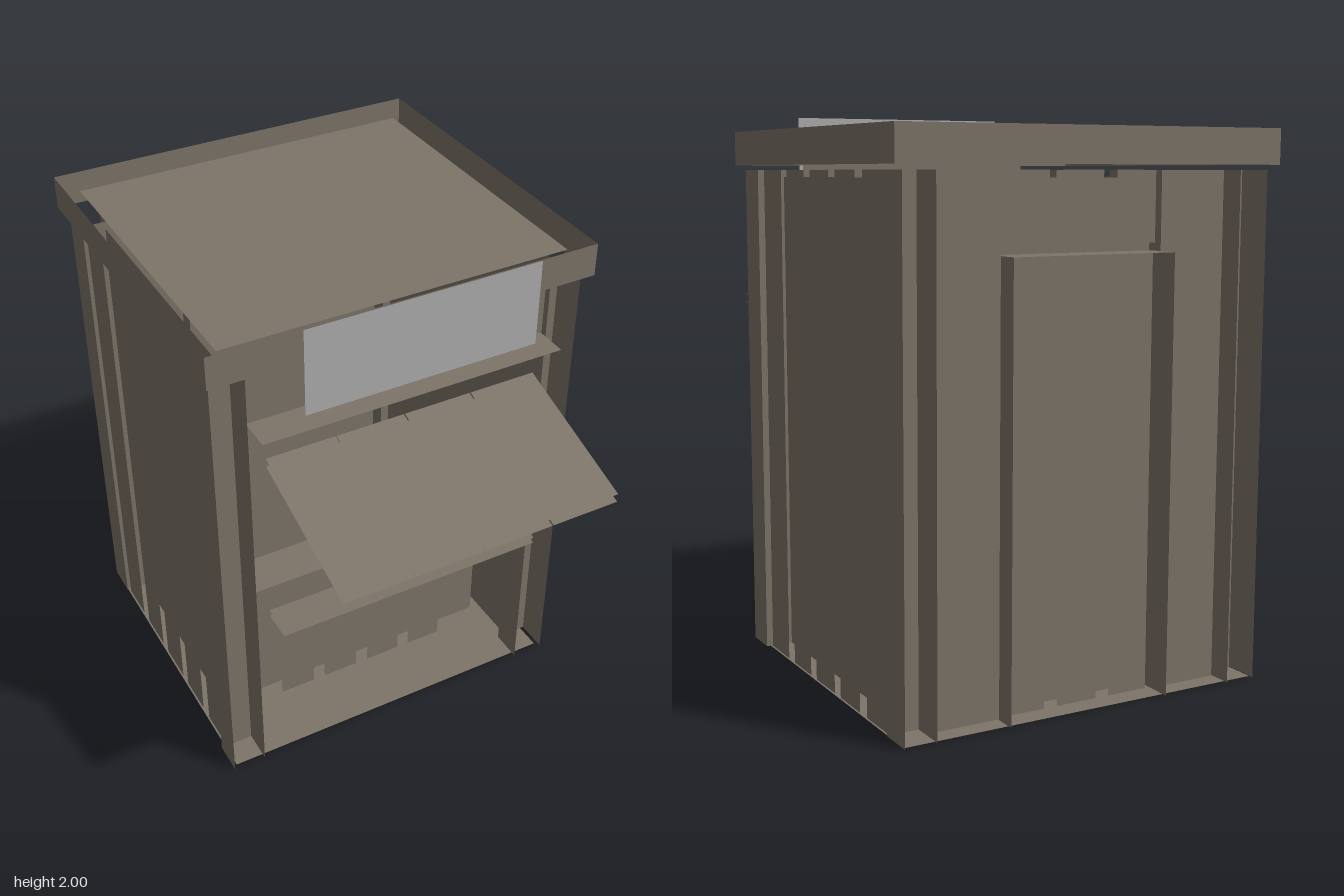
import * as THREE from 'three';

const mat = (name, color) => {
  const m = new THREE.MeshStandardMaterial({ color, side: THREE.DoubleSide });
  m.name = name;
  return m;
};

export function createModel() {
  const root = new THREE.Group();
  root.name = 'kiosk';
  const brown = mat('weatheredMetal', 0x7d7568);
  const grey = mat('signGrey', 0xb0aeae);

  const add = (name, positions, material = brown) => {
    const g = new THREE.BufferGeometry();
    g.setAttribute('position', new THREE.Float32BufferAttribute(positions, 3));
    g.computeVertexNormals();
    const mesh = new THREE.Mesh(g, material);
    mesh.name = name;
    root.add(mesh);
  };

  // Flat sheets: from four corners, level, facing z, facing x
  const sheet = (name, a, b, c, d, material) => add(name, [...a, ...b, ...c, ...a, ...c, ...d], material);
  const level = (name, x, y, z0, z1) =>
    sheet(name, [-x, y, z1], [x, y, z1], [x, y, z0], [-x, y, z0]);
  const facingZ = (name, x0, x1, y0, y1, z, material) =>
    sheet(name, [x0, y0, z], [x1, y0, z], [x1, y1, z], [x0, y1, z], material);
  const facingX = (name, x, z0, z1, y0, y1) =>
    sheet(name, [x, y0, z1], [x, y0, z0], [x, y1, z0], [x, y1, z1]);

  // Floor and roof
  level('floor', 0.692, 0, -0.892, 0.355);
  level('roof', 0.66, 1.9, -0.857, 0.347);

  // Band around the roof
  for (const s of [-1, 1]) facingX('roofBandSide', s * 0.73, -0.93, 0.42, 1.817, 1.94);
  for (const z of [-0.93, 0.42]) facingZ('roofBandEnd', -0.73, 0.73, 1.817, 1.94, z);

  // Corner posts: channels open to the front and to the back
  for (const s of [-1, 1]) {
    facingX('frontPostOuter', s * 0.707, 0.25, 0.375, 0, 1.8);
    facingX('frontPostInner', s * 0.58, 0.25, 0.375, 0, 1.8);
    facingZ('frontPostWeb', s * 0.58, s * 0.707, 0, 1.8, 0.25);
    facingX('backPostOuter', s * 0.695, -0.907, -0.775, 0, 1.8);
    facingX('backPostInner', s * 0.58, -0.907, -0.775, 0, 1.8);
    facingZ('backPostWeb', s * 0.58, s * 0.695, 0, 1.8, -0.775);
  }

  // Side walls: outer strips over a recessed sheet, with a flat middle panel
  const folds = [[0.245, 0.08], [0.025, -0.13], [-0.18, -0.34], [-0.39, -0.55], [-0.605, -0.76]];
  for (const s of [-1, 1]) {
    folds.forEach(([a, b], i) => {
      const spans = i === 1 || i === 2 ? [[0, 0.52], [1.557, 1.8]] : [[0, 1.8]];
      for (const [y0, y1] of spans) facingX('sideStrip', s * 0.685, b, a, y0, y1);
    });
    facingX('sidePanel', s * 0.64, -0.31, 0, 0.572, 1.505);
    facingX('sideRecess', s * 0.61, -0.765, 0.24, 0.003, 1.775);
  }

  // Back wall: plain sides, recessed middle and three strips
  for (const s of [-1, 1]) facingZ('backWallSide', s * 0.31, s * 0.57, 0.003, 1.8, -0.83);
  facingZ('backRecess', -0.31, 0.31, 0.003, 1.775, -0.765);
  for (const x of [-0.208, 0, 0.208]) {
    facingZ('backStrip', x - 0.078, x + 0.078, 0.003, 1.53, -0.82);
    facingZ('backStripUpper', x - 0.078, x + 0.078, 1.56, 1.8, -0.83);
  }

  // Back door frame and hood
  for (const s of [-1, 1]) facingX('doorFrame', s * 0.31, -0.91, -0.77, 0, 1.53);
  level('doorHood', 0.31, 1.53, -0.91, -0.77);

  // Recessed front wall with strips
  facingZ('frontWall', -0.57, 0.57, 0.003, 0.735, 0.04);
  for (const x of [-0.295, -0.1, 0.1, 0.295]) facingZ('frontStrip', x - 0.073, x + 0.073, 0.003, 0.735, 0.1);

  // Counter: inner top, upstand and outer serving shelf
  level('innerCounter', 0.57, 0.738, 0.04, 0.24);
  facingZ('counterUpstand', -0.48, 0.48, 0.735, 0.85, 0.07);
  level('servingShelf', 0.53, 0.76, 0.37, 0.49);
  level('servingShelfUnderside', 0.53, 0.735, 0.37, 0.49);

  // Header above the opening
  facingZ('upperFrontWall', -0.57, 0.57, 1.46, 1.6, 0.06);
  facingZ('headerPanel', -0.58, 0.58, 1.592, 1.8, 0.35);
  level('headerLedge', 0.575, 1.592, 0.35, 0.478);
  facingZ('signBacking', -0.48, 0.48, 1.637, 1.82, 0.37);

  // Awning of four slats, each with a lower sheet
  for (let i = 0; i < 4; i++) {
    const x0 = -0.527 + i * 0.2645, x1 = x0 + 0.26;
    for (const drop of [0, 0.033]) {
      sheet(drop ? 'awningUnderside' : 'awningSlat',
        [x0, 1.286 - drop, 0.927], [x1, 1.286 - drop, 0.927],
        [x1, 1.46 - drop, 0.39], [x0, 1.46 - drop, 0.39]);
    }
  }

  // Blank sign board
  facingZ('signBoard', -0.437, 0.437, 1.68, 2, 0.51, grey);

  return root;
}
